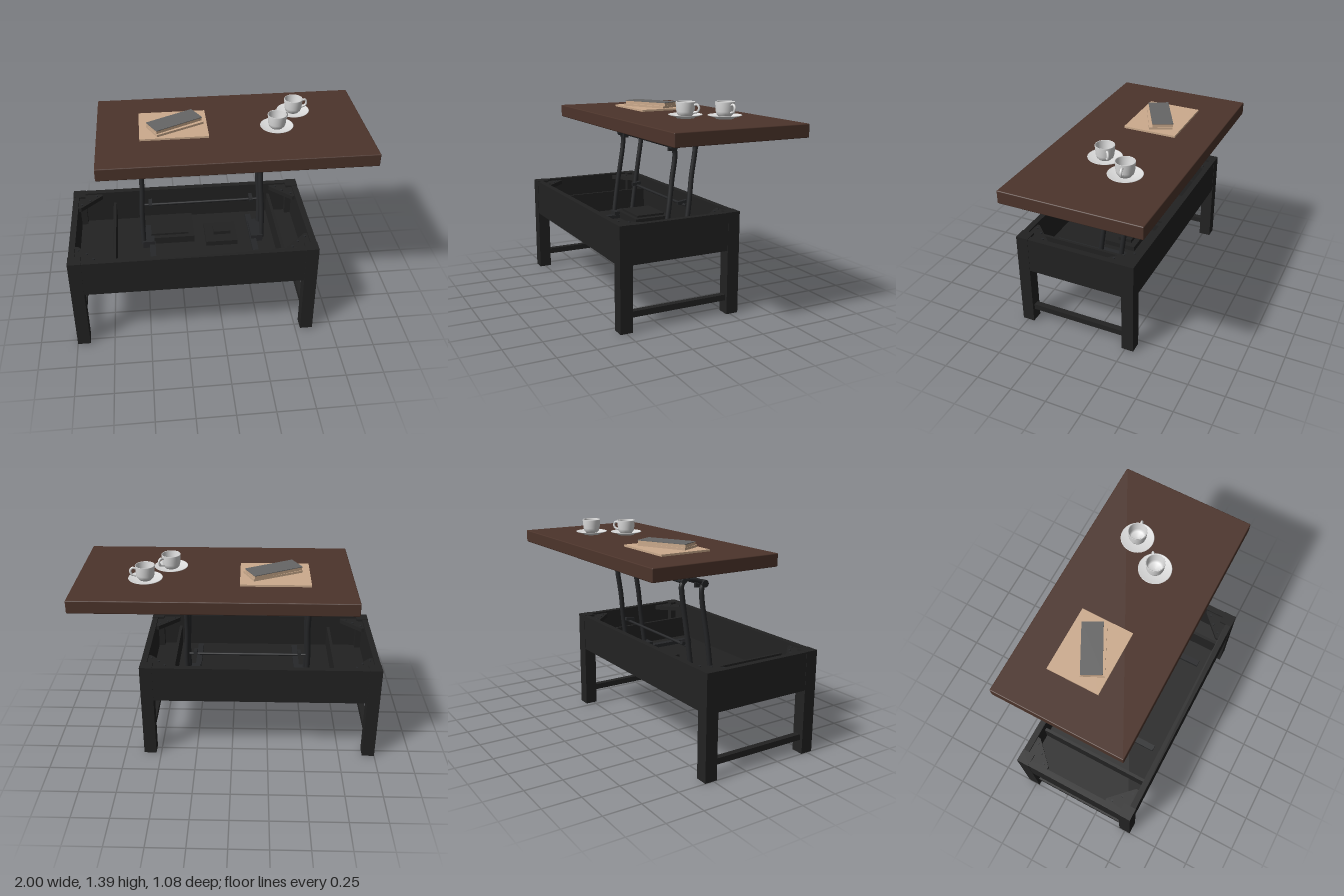
import * as THREE from 'three';
import { RoundedBoxGeometry } from 'three/addons/geometries/RoundedBoxGeometry.js';

const mat = (name, color) => {
  const m = new THREE.MeshStandardMaterial({ color });
  m.name = name;
  return m;
};

export function createModel() {
  const model = new THREE.Group();
  model.name = 'liftTopTable';
  const black = mat('blackPaint', 0x222222);
  const metal = mat('darkMetal', 0x262729);
  const wood = mat('brownWood', 0x4c342b);
  const paper = mat('beigePaper', 0xccab8d);
  const grey = mat('greyCover', 0x666666);
  const china = mat('whiteChina', 0xdedede);

  const add = (name, geo, material, x = 0, y = 0, z = 0, parent = model) => {
    const m = new THREE.Mesh(geo, material);
    m.name = name;
    m.position.set(x, y, z);
    parent.add(m);
    return m;
  };
  // Box given by its minimum and maximum on each axis
  const span = (name, material, x0, x1, y0, y1, z0, z1, parent = model) =>
    add(name, new THREE.BoxGeometry(x1 - x0, y1 - y0, z1 - z0), material,
      (x0 + x1) / 2, (y0 + y1) / 2, (z0 + z1) / 2, parent);
  // Round bar along x
  const barX = (name, x0, x1, y, z, r, parent = model) => {
    const m = add(name, new THREE.CylinderGeometry(r, r, x1 - x0, 14), metal, (x0 + x1) / 2, y, z, parent);
    m.rotation.z = Math.PI / 2;
    return m;
  };
  const tube = (name, pts, r, parent) => {
    const curve = new THREE.CatmullRomCurve3(pts.map((p) => new THREE.Vector3(...p)), false, 'centripetal');
    return add(name, new THREE.TubeGeometry(curve, 48, r, 12), metal, 0, 0, 0, parent);
  };

  // Base: legs, aprons, floor and end stretchers
  const X0 = -1, X1 = 0.62, Z0 = -0.31, Z1 = 0.54, TOP = 0.69, LOW = 0.435, LEG = 0.085;
  const base = new THREE.Group();
  base.name = 'base';
  model.add(base);
  for (const x of [X0, X1 - LEG])
    for (const z of [Z0, Z1 - LEG]) span('leg', black, x, x + LEG, 0, TOP, z, z + LEG, base);
  for (const z of [Z0 + 0.002, Z1 - 0.042])
    span('longApron', black, X0 + LEG, X1 - LEG, LOW, TOP - 0.002, z, z + 0.04, base);
  for (const x of [X0 + 0.002, X1 - 0.042]) {
    span('endApron', black, x, x + 0.04, LOW, TOP - 0.002, Z0 + LEG, Z1 - LEG, base);
  }
  for (const x of [X0 + 0.022, X1 - 0.062])
    span('stretcher', black, x, x + 0.04, 0.09, 0.13, Z0 + LEG, Z1 - LEG, base);
  span('boxFloor', black, X0 + 0.03, X1 - 0.03, LOW, 0.45, Z0 + 0.03, Z1 - 0.03, base);
  span('leftDivider', black, -0.72, -0.7, 0.45, 0.6, Z0 + 0.04, Z1 - 0.04, base);
  span('rightDivider', black, 0.4, 0.42, 0.45, 0.6, Z0 + 0.04, Z1 - 0.04, base);

  // Triangular corner braces with screws
  const tri = new THREE.Shape([[0, 0], [0.17, 0], [0.17, 0.025], [0.025, 0.17], [0, 0.17]]
    .map((p) => new THREE.Vector2(...p)));
  const braceGeo = new THREE.ExtrudeGeometry(tri, { depth: 0.03, bevelEnabled: false });
  braceGeo.rotateX(Math.PI / 2);
  const e = 0.035;
  [[X0 + e, Z0 + e, 0], [X0 + e, Z1 - e, 1], [X1 - e, Z1 - e, 2], [X1 - e, Z0 + e, 3]].forEach(([x, z, k]) => {
    const corner = new THREE.Group();
    corner.name = 'cornerBrace';
    corner.position.set(x, 0.675, z);
    corner.rotation.y = k * Math.PI / 2;
    base.add(corner);
    add('bracePlate', braceGeo, black, 0, 0, 0, corner);
    for (const [sx, sz] of [[0.13, 0.03], [0.03, 0.13], [0.085, 0.085]])
      add('screw', new THREE.CylinderGeometry(0.008, 0.008, 0.006, 10), metal, sx, 0.003, sz, corner);
  });

  // Things stored in the box
  span('storedCase', black, -0.5, -0.16, 0.45, 0.5, -0.22, 0.06, base);
  span('storedCaseLid', black, -0.46, -0.2, 0.5, 0.515, -0.19, 0.03, base);
  span('storedTray', black, -0.08, 0.14, 0.45, 0.485, -0.1, 0.12, base);
  span('storedBlock', black, -0.02, 0.1, 0.485, 0.51, -0.06, 0.04, base);

  // Lifting mechanism: two bent hoops, joined by links on both sides
  const lift = new THREE.Group();
  lift.name = 'liftFrame';
  model.add(lift);
  const XL = -0.505, XR = 0.305;
  for (const x of [XL, XR]) {
    const out = x < 0 ? -0.01 : 0.01;
    tube('frontArm', [[x + out, 0.47, 0.075], [x + out, 0.69, 0.045], [x, 0.88, 0.018],
      [x, 1.0, 0.0], [x, 1.05, -0.002], [x, 1.09, 0.01]], 0.017, lift);
    tube('rearArm', [[x + out, 0.47, -0.075], [x + out, 0.69, -0.105], [x, 0.88, -0.128],
      [x, 1.04, -0.152], [x, 1.09, -0.155], [x, 1.12, -0.14]], 0.017, lift);
    tube('topLink', [[x, 1.085, 0.015], [x, 1.11, -0.03], [x, 1.122, -0.08], [x, 1.13, -0.15]], 0.014, lift);
    barX('frontPivot', x - 0.024, x + 0.024, 1.088, 0.012, 0.024, lift);
    barX('rearPivot', x - 0.018, x + 0.018, 1.12, -0.145, 0.018, lift);

    // Foot rail and pivot feet
    const inn = x < 0 ? x + 0.05 : x - 0.05;
    span('footRail', metal, inn - 0.02, inn + 0.02, 0.45, 0.475, -0.2, 0.44, lift);
    span('footPlate', metal, Math.min(x, inn) - 0.015, Math.max(x, inn) + 0.015, 0.45, 0.5, -0.1, 0.1, lift);
    const foot = span('pivotTab', metal, inn - 0.012, inn + 0.012, 0.688, 0.71, -0.12, -0.05, lift);
    foot.rotation.x = 0.15;
    span('upperTab', metal, inn - 0.01, inn + 0.01, 1.055, 1.085, -0.02, 0.02, lift);

    // Hinge bracket under the top
    const hx = x < 0 ? -0.56 : 0.38;
    tube('hingeBracket', [[hx, 1.195, -0.13], [hx, 1.17, -0.145], [hx, 1.145, -0.15]], 0.017, lift);
    barX('hingePin', hx - 0.045, hx + 0.03, 1.185, -0.14, 0.012, lift);
    span('hingePlate', metal, hx - 0.06, hx + 0.06, 1.19, 1.2, -0.19, -0.09, lift);
  }
  barX('frontCrossbar', XL, XR, 1.09, 0.0, 0.016, lift);
  barX('rearCrossbar', XL, XR, 1.12, -0.15, 0.016, lift);
  barX('lowerCrossbar', -0.5, 0.3, 0.685, -0.09, 0.009, lift);
  barX('hingeRod', -0.56, 0.38, 1.188, -0.15, 0.009, lift);
  tube('topStrut', [[0.25, 1.12, -0.14], [0.25, 1.16, -0.12], [0.25, 1.2, -0.105]], 0.011, lift);

  // Raised table top
  add('tableTop', new RoundedBoxGeometry(1.78, 0.085, 0.92, 2, 0.006), wood, 0.11, 1.2425, -0.08);

  // Magazine and books
  span('magazine', paper, -0.5, -0.05, 1.285, 1.298, -0.3, 0.06);
  const books = new THREE.Group();
  books.name = 'books';
  books.position.set(-0.265, 1.298, -0.11);
  books.rotation.y = 0.48;
  model.add(books);
  const lower = span('lowerBook', paper, -0.175, 0.175, 0, 0.015, -0.07, 0.085, books);
  lower.rotation.y = -0.03;
  span('bookPages', paper, -0.172, 0.172, 0.015, 0.035, -0.068, 0.066, books);
  span('bookCover', grey, -0.174, 0.174, 0.035, 0.039, -0.07, 0.068, books);

  // Cups on saucers
  const lathe = (pts) => new THREE.LatheGeometry(pts.map((p) => new THREE.Vector2(...p)), 40);
  const saucerGeo = lathe([[0, 0], [0.055, 0], [0.06, 0.006], [0.108, 0.021], [0.11, 0.024],
    [0.106, 0.025], [0.062, 0.012], [0, 0.01]]);
  const cupGeo = lathe([[0, 0], [0.038, 0], [0.042, 0.006], [0.052, 0.016], [0.058, 0.035], [0.063, 0.094],
    [0.061, 0.097], [0.057, 0.094], [0.053, 0.036], [0.044, 0.016], [0, 0.012]]);
  const handleCurve = new THREE.CatmullRomCurve3([[0.057, 0.075], [0.08, 0.08], [0.093, 0.062], [0.086, 0.038], [0.055, 0.028]]
    .map(([x, y]) => new THREE.Vector3(x, y, 0)));
  const handleGeo = new THREE.TubeGeometry(handleCurve, 24, 0.008, 8);
  for (const [x, z, turn, y] of [[0.55, -0.225, 0.15, 0.012], [0.405, -0.022, 0.65, 0.008]]) {
    const set = new THREE.Group();
    set.name = 'cupAndSaucer';
    set.position.set(x, 1.285, z);
    set.rotation.y = turn;
    model.add(set);
    add('saucer', saucerGeo, china, 0, 0, 0, set);
    add('cup', cupGeo, china, 0, y, 0, set);
    add('cupHandle', handleGeo, china, 0, y, 0, set);
  }
  return model;
}
